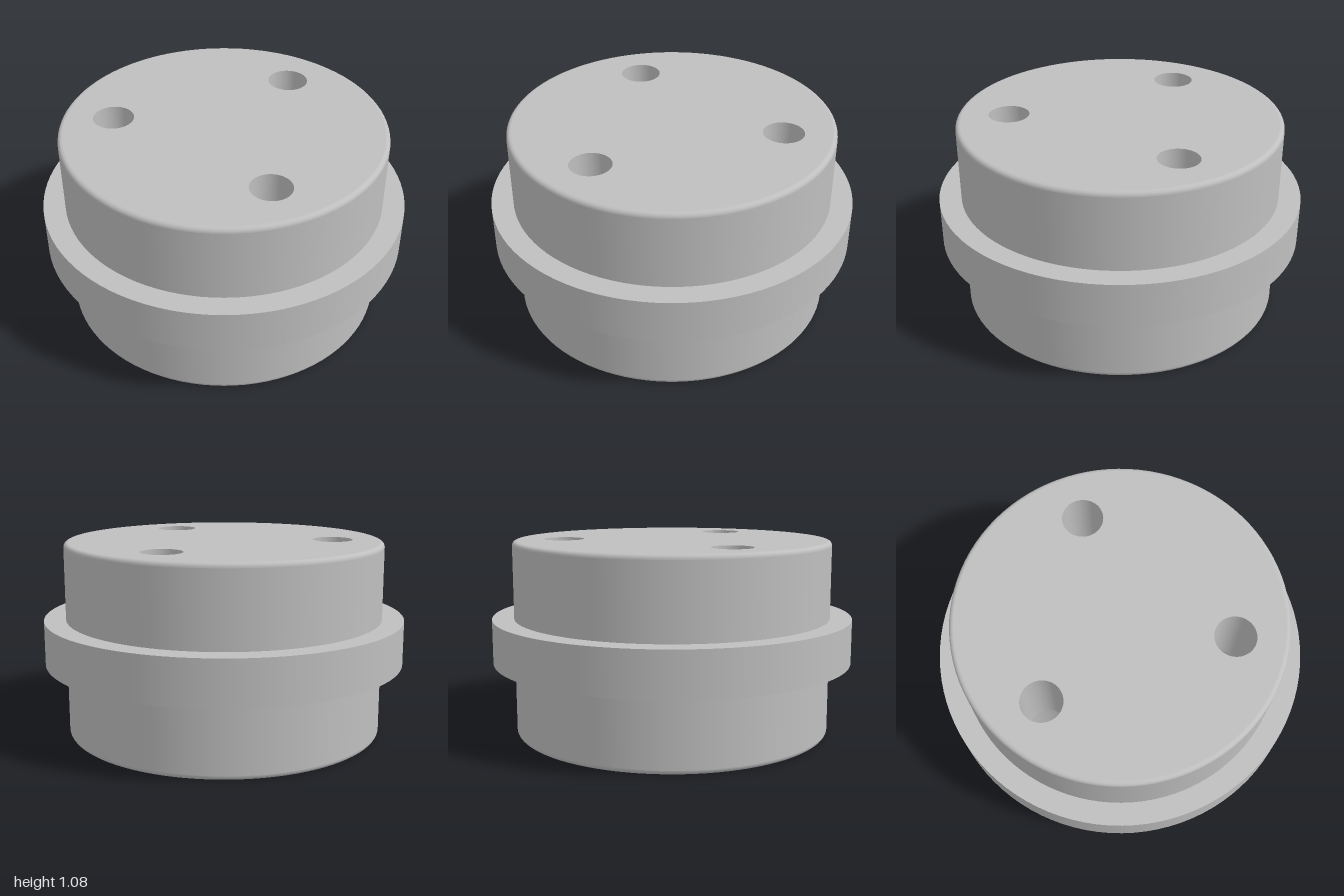
import * as THREE from 'three';
import { mergeGeometries } from 'three/addons/utils/BufferGeometryUtils.js';

const SEG = 96;
const R = 0.88, H = 1.075, FILLET = 0.025;      // body
const FLANGE_R = 1, FLANGE_LOW = 0.405, FLANGE_HIGH = 0.65;
const BOLT_R = 0.11, BORE_R = 0.197, BORE_DEPTH = 0.55;
const TAP_R = 0.095, TAP_MOUTH = 0.12, TAP_DEPTH = 0.45;
const PITCH = 0.6;                               // hole circle radius

// Each run of [radius, y] points is smooth; the edges between runs stay sharp.
function revolve(runs) {
  return mergeGeometries(runs.map((run) =>
    new THREE.LatheGeometry(run.map(([r, y]) => new THREE.Vector2(r, y)), SEG)));
}

// Splits a polyline into single straight runs.
const straight = (points) => points.slice(1).map((p, i) => [points[i], p]);

// Quarter-round edge between two angles.
function round(y, from, to) {
  return Array.from({ length: 7 }, (_, i) => {
    const a = from + (to - from) * i / 6;
    return [R - FILLET + FILLET * Math.cos(a), y + FILLET * Math.sin(a)];
  });
}

// Three evenly spaced places on the hole circle.
const triad = (start) => [0, 1, 2].map((i) => {
  const a = start + i * Math.PI * 2 / 3;
  return [PITCH * Math.cos(a), PITCH * Math.sin(a)];
});

// Flat disc pierced by round holes given as [x, z, radius].
function face(holes) {
  const shape = new THREE.Shape().absarc(0, 0, R - FILLET, 0, Math.PI * 2);
  for (const [x, z, r] of holes) {
    shape.holes.push(new THREE.Path().absarc(x, z, r, 0, Math.PI * 2, true));
  }
  return new THREE.ShapeGeometry(shape, SEG / 2);
}

export function createModel() {
  const group = new THREE.Group();
  const metal = new THREE.MeshStandardMaterial({ color: 0xbfbfbf });
  metal.name = 'grey metal';

  const add = (name, geometry, x = 0, y = 0, z = 0) => {
    const mesh = new THREE.Mesh(geometry, metal);
    mesh.name = name;
    mesh.position.set(x, y, z);
    group.add(mesh);
  };

  const bolts = triad(0);
  const taps = [[0, 0], ...triad(Math.PI)];

  // Cylindrical body with rounded rims
  add('lowerBody', revolve([
    round(FILLET, -Math.PI / 2, 0),
    [[R, FILLET], [R, FLANGE_LOW]],
  ]));
  add('upperBody', revolve([
    [[R, FLANGE_HIGH], [R, H - FILLET]],
    round(H - FILLET, 0, Math.PI / 2),
  ]));

  // Projecting collar
  add('flange', revolve(straight([
    [R, FLANGE_LOW], [FLANGE_R, FLANGE_LOW], [FLANGE_R, FLANGE_HIGH], [R, FLANGE_HIGH],
  ])));

  // End faces
  add('topFace', face(bolts.map(([x, z]) => [x, -z, BOLT_R])).rotateX(-Math.PI / 2), 0, H, 0);
  add('bottomFace', face([
    ...bolts.map(([x, z]) => [x, z, BORE_R]),
    ...taps.map(([x, z]) => [x, z, TAP_MOUTH]),
  ]).rotateX(Math.PI / 2));

  // Through holes, widened from below
  const boltHole = revolve(straight([
    [BOLT_R, H], [BOLT_R, BORE_DEPTH], [BORE_R, BORE_DEPTH], [BORE_R, 0],
  ]));
  bolts.forEach(([x, z], i) => add('boltHole' + (i + 1), boltHole, x, 0, z));

  // Blind holes with chamfered mouths
  const tapHole = revolve(straight([
    [0, TAP_DEPTH], [TAP_R, TAP_DEPTH], [TAP_R, 0.03], [TAP_MOUTH, 0],
  ]));
  taps.forEach(([x, z], i) => add('blindHole' + (i + 1), tapHole, x, 0, z));

  return group;
}
